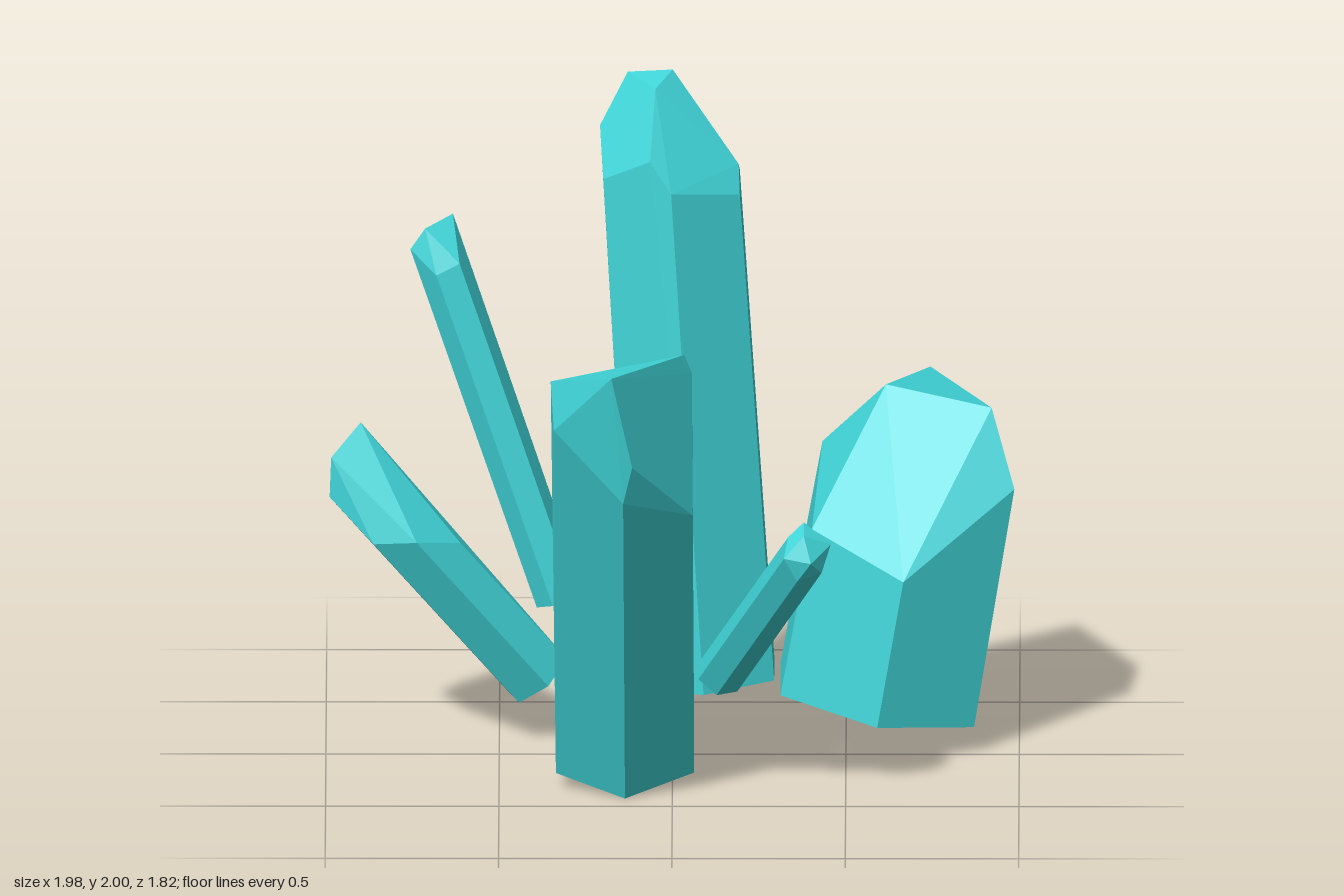
import * as THREE from 'three';
import { ConvexGeometry } from 'three/addons/geometries/ConvexGeometry.js';

const V = (p) => new THREE.Vector3(...p);

// One hexagonal crystal: a leaning prism whose six long edges each end at
// their own height, closed by a few extra points that shape the cut tip.
// base, top: two points on the axis; r0, r1: radius at each of them;
// corner: direction of the first edge; heights: y where each edge ends.
function crystal(name, material, { base, top, r0, r1, corner, heights, tips }) {
  const a = V(base), b = V(top);
  const axis = b.clone().sub(a).normalize();
  const u = V(corner).projectOnPlane(axis).normalize();
  const v = axis.clone().cross(u);
  const points = tips.map(V);
  heights.forEach((y, i) => {
    const angle = (i * Math.PI) / 3;
    const out = u.clone().multiplyScalar(Math.cos(angle)).addScaledVector(v, Math.sin(angle));
    const low = a.clone().addScaledVector(out, r0);
    const high = b.clone().addScaledVector(out, r1);
    points.push(low, low.clone().lerp(high, (y - low.y) / (high.y - low.y)));
  });
  const mesh = new THREE.Mesh(new ConvexGeometry(points), material);
  mesh.name = name;
  return mesh;
}

export function createModel() {
  const group = new THREE.Group();
  group.name = 'crystalCluster';
  const material = new THREE.MeshStandardMaterial({ color: 0x40d5d8, flatShading: true });

  const crystals = {
    // tall upright crystal in the middle
    centreCrystal: {
      base: [0.09, 0.19, -0.175], top: [-0.005, 1.7, -0.245], r0: 0.235, r1: 0.225,
      corner: [0, 0, 1], heights: [1.69, 1.655, 1.66, 1.6, 1.7, 1.7],
      tips: [[0, 2, -0.235], [-0.05, 1.965, -0.16], [-0.13, 1.965, -0.325], [-0.21, 1.83, -0.24],
        [-0.065, 1.78, -0.045], [-0.07, 1.82, -0.425], [0.19, 1.735, -0.17]],
    },
    // large crystal leaning forward
    frontCrystal: {
      base: [-0.137, 0.092, 0.213], top: [-0.142, 1.3, 0.72], r0: 0.23, r1: 0.23,
      corner: [0, 0, 1], heights: [1.03, 0.945, 1.35, 1.32, 1.31, 1.24],
      tips: [[-0.175, 1.425, 0.91], [-0.35, 1.38, 0.79], [0.035, 1.41, 0.63], [-0.115, 1.145, 0.875]],
    },
    // broad squat crystal on the left side
    broadCrystal: {
      base: [0.59, 0.13, -0.17], top: [0.705, 0.8, -0.175], r0: 0.327, r1: 0.32,
      corner: [0, 0, 1], heights: [0.57, 0.8, 0.57, 1.02, 0.845, 0.68],
      tips: [[0.615, 1.07, -0.165], [0.92, 1.02, -0.1]],
    },
    // small crystal between the front and broad ones
    smallCrystal: {
      base: [0.135, 0.325, 0.265], top: [0.385, 0.825, 0.685], r0: 0.07, r1: 0.07,
      corner: [0.86, 0, -0.51], heights: [0.85, 0.86, 0.87, 0.82, 0.75, 0.77],
      tips: [[0.38, 0.91, 0.65], [0.38, 0.885, 0.705], [0.4, 0.81, 0.735]],
    },
    // low crystal on the right side
    sideCrystal: {
      base: [-0.39, 0.19, -0.165], top: [-0.845, 0.755, -0.02], r0: 0.108, r1: 0.108,
      corner: [0.28, 0, 0.955], heights: [0.66, 0.63, 0.8, 0.78, 0.77, 0.65],
      tips: [[-0.9, 0.975, -0.1], [-0.985, 0.89, -0.03]],
    },
    // slender crystal at the back right
    slenderCrystal: {
      base: [-0.325, 0.33, -0.455], top: [-0.67, 1.33, -0.55], r0: 0.073, r1: 0.075,
      corner: [-0.3, 0, 0.955], heights: [1.3, 1.33, 1.22, 1.25, 1.36, 1.36],
      tips: [[-0.635, 1.45, -0.595], [-0.715, 1.425, -0.53]],
    },
    // crystal leaning backward
    backCrystal: {
      base: [0.15, 0.155, -0.395], top: [0.115, 1, -0.78], r0: 0.11, r1: 0.115,
      corner: [0, 0, -1], heights: [0.92, 1.04, 0.95, 0.875, 1.0, 1.0],
      tips: [[0.1, 1.23, -0.82], [0.12, 1.16, -0.91], [0.2, 1.07, -0.83]],
    },
  };

  for (const [name, spec] of Object.entries(crystals)) group.add(crystal(name, material, spec));
  return group;
}
